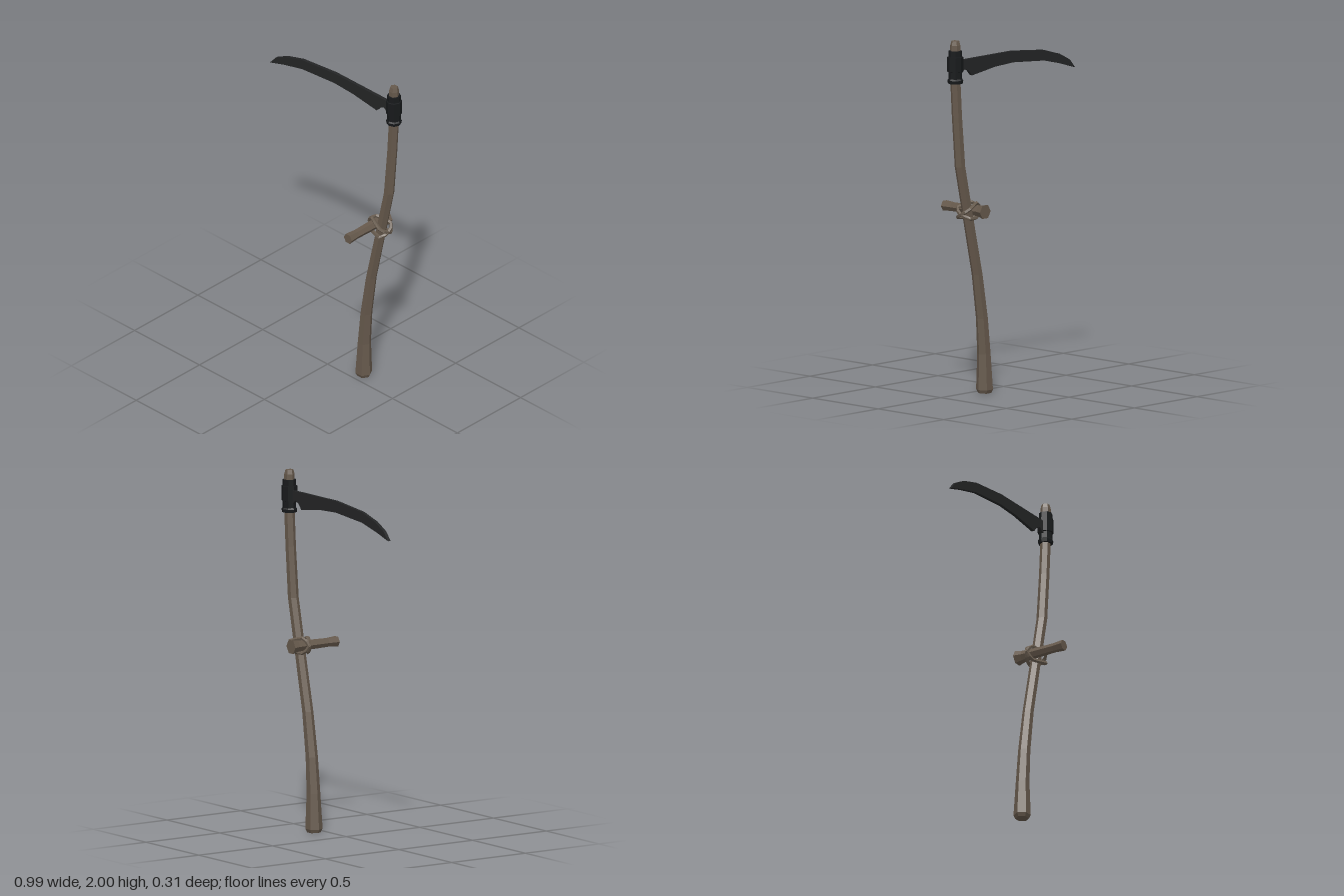
import * as THREE from 'three';

const Z = -0.063; // plane of the shaft and blade

// Faceted rod along y: each ring is [centre x, y, radius], listed from bottom to top.
function rod(rings, sides) {
  const n = rings.length - 1;
  const geo = new THREE.CylinderGeometry(1, 1, 1, sides, n, false, Math.PI / 2);
  const p = geo.attributes.position;
  for (let i = 0; i < p.count; i++) {
    const [cx, y, r] = rings[Math.round((p.getY(i) + 0.5) * n)];
    p.setXYZ(i, cx + p.getX(i) * r, y, p.getZ(i) * r);
  }
  geo.computeVertexNormals();
  return geo;
}

export function createModel() {
  const group = new THREE.Group();
  const material = (name, color) => {
    const m = new THREE.MeshStandardMaterial({ color, flatShading: true });
    m.name = name;
    return m;
  };
  const wood = material('weathered wood', 0x66594c);
  const rope = material('binding cord', 0x695d50);
  const steel = material('dark steel', 0x242526);
  const iron = material('black iron', 0x17191b);

  const add = (name, geo, mat, x = 0, y = 0, z = Z) => {
    const mesh = new THREE.Mesh(geo, mat);
    mesh.name = name;
    mesh.position.set(x, y, z);
    group.add(mesh);
    return mesh;
  };

  // Curved hexagonal shaft with a swollen foot
  add('shaft', rod([
    [0.217, 0, 0.038], [0.217, 0.02, 0.048], [0.222, 0.22, 0.038], [0.238, 0.42, 0.034],
    [0.276, 0.67, 0.031], [0.345, 0.98, 0.03], [0.413, 1.29, 0.03], [0.437, 1.57, 0.029],
    [0.45, 1.78, 0.029], [0.45, 1.975, 0.029], [0.45, 2, 0.022],
  ], 6), wood);

  // Stepped octagonal collar
  add('collar', rod([
    [0, 1.762, 0.041], [0, 1.78, 0.044], [0, 1.788, 0.038], [0, 1.826, 0.038],
    [0, 1.828, 0.045], [0, 1.91, 0.045], [0, 1.912, 0.038], [0, 1.945, 0.038],
  ], 8), iron, 0.45);

  // Curved blade with a notched heel
  const outline = [
    [0.43, 1.888], [0, 1.888], [-0.25, 1.862], [-0.375, 1.825], [-0.455, 1.783],
    [-0.497, 1.735], [-0.39, 1.768], [-0.25, 1.803], [0, 1.824], [0.145, 1.817],
    [0.325, 1.792], [0.352, 1.822], [0.382, 1.836], [0.405, 1.815], [0.43, 1.815],
  ].map(([x, y]) => new THREE.Vector2(x, y));
  add('blade', new THREE.ExtrudeGeometry(new THREE.Shape(outline), { depth: 0.018, bevelEnabled: false }),
    steel, 0, 0, Z - 0.009);

  // Cross grip, running front to back beside the shaft
  const grip = rod([
    [0, -0.155, 0.043], [0, -0.115, 0.033], [0, -0.05, 0.029], [0, 0.09, 0.026], [0, 0.155, 0.031],
  ], 6).rotateX(Math.PI / 2);
  add('grip', grip, wood, 0.307, 1.035, 0);

  // Two crossed cord loops binding grip to shaft
  for (const s of [1, -1]) {
    const loop = [
      [0.262, 1.035, 0], [0.295, 1.076, 0.016], [0.388, 1.05, 0.046],
      [0.404, 1.02, 0], [0.388, 1.0, -0.046], [0.295, 0.995, -0.016],
    ].map(([x, y, z]) => new THREE.Vector3(x, y, z * s));
    const path = new THREE.CatmullRomCurve3(loop, true, 'catmullrom', 0.3);
    add(s > 0 ? 'bindingForward' : 'bindingBackward', new THREE.TubeGeometry(path, 14, 0.011, 5, true), rope);
  }
  return group;
}
